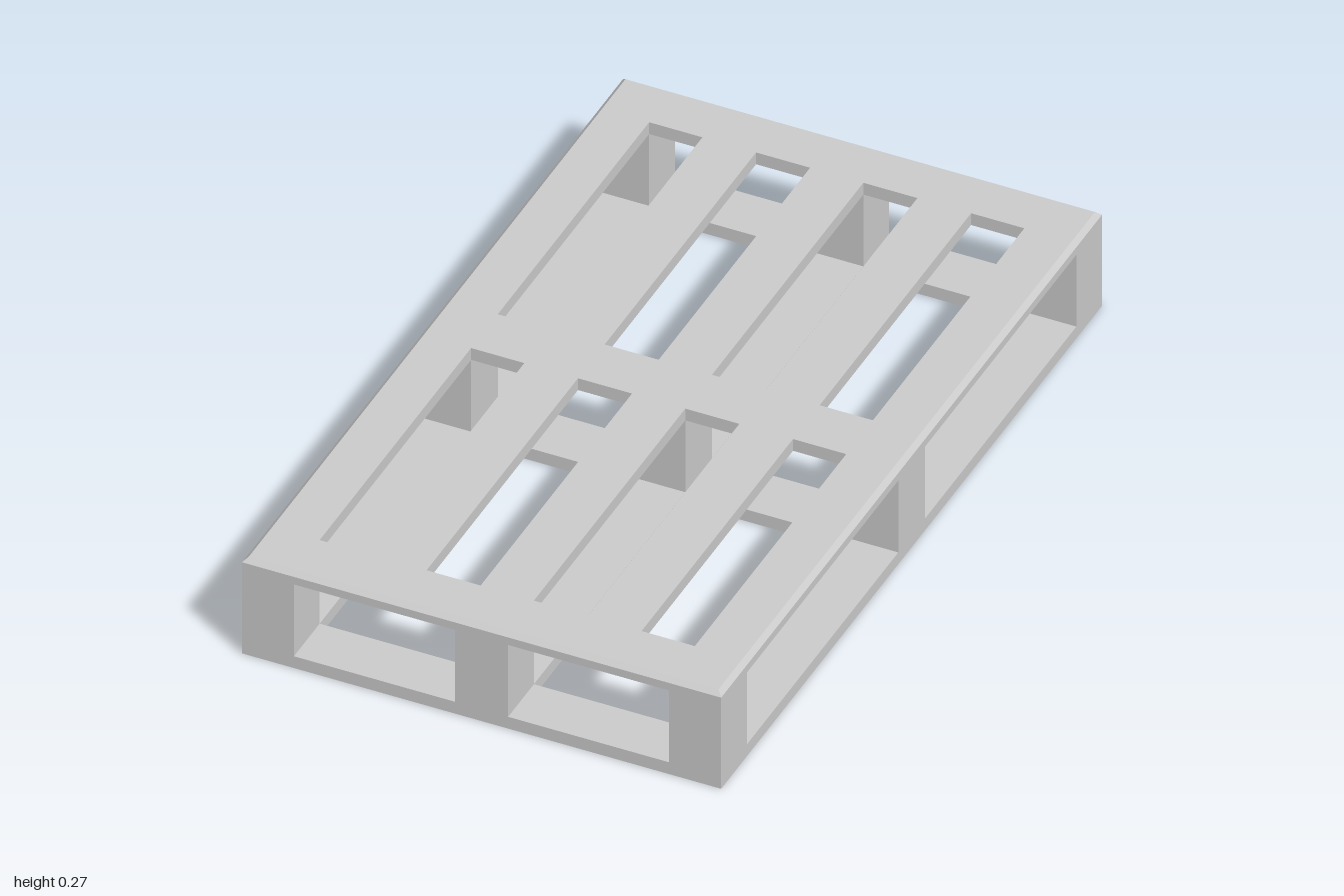
import * as THREE from 'three';

const W = 0.594, L = 1;                 // half width, half length
const SLAB = 0.033, TOP = 0.267;        // board thickness, total height
const BEVEL = 0.012;
const XIN = 0.465, XMID = 0.066;        // block limits across
const ZIN = 0.865, ZMID = 0.07;         // block limits along

const material = new THREE.MeshStandardMaterial({ color: 0xcccccc, flatShading: true });

function rect(path, x0, x1, z0, z1) {
  path.moveTo(x0, z0);
  path.lineTo(x1, z0);
  path.lineTo(x1, z1);
  path.lineTo(x0, z1);
  path.closePath();
  return path;
}

// Flat slab pierced by openings over the given x ranges, in two mirrored rows
function slab(xRanges, steps) {
  const shape = rect(new THREE.Shape(), -W, W, -L, L);
  for (const [x0, x1] of xRanges) {
    for (const [z0, z1] of [[-ZIN, -ZMID], [ZMID, ZIN]]) {
      shape.holes.push(rect(new THREE.Path(), x0, x1, z0, z1));
    }
  }
  const geometry = new THREE.ExtrudeGeometry(shape, { depth: SLAB, steps, bevelEnabled: false });
  return geometry.rotateX(-Math.PI / 2);
}

function add(group, name, geometry, x = 0, y = 0, z = 0) {
  const mesh = new THREE.Mesh(geometry, material);
  mesh.name = name;
  mesh.position.set(x, y, z);
  group.add(mesh);
}

export function createModel() {
  const pallet = new THREE.Group();
  pallet.name = 'pallet';

  // Bottom frame with four large openings
  add(pallet, 'bottomFrame', slab([[-XIN, -XMID], [XMID, XIN]], 1));

  // Top deck with eight slots; its outer upper edge is chamfered
  const deck = slab([[-XIN, -0.333], [-0.2, -XMID], [XMID, 0.2], [0.333, XIN]], 2);
  const p = deck.attributes.position;
  for (let i = 0; i < p.count; i++) {
    const x = p.getX(i), y = p.getY(i), z = p.getZ(i);
    if (y > SLAB * 0.9) {
      if (Math.abs(x) > W - 0.001) p.setX(i, x - Math.sign(x) * BEVEL);
      if (Math.abs(z) > L - 0.001) p.setZ(i, z - Math.sign(z) * BEVEL);
    } else if (y > SLAB * 0.1) {
      p.setY(i, SLAB - BEVEL);
    }
  }
  deck.computeVertexNormals();
  add(pallet, 'topDeck', deck, 0, TOP - SLAB, 0);

  // Nine spacer blocks between the frame and the deck
  const height = TOP - 2 * SLAB;
  for (const i of [-1, 0, 1]) {
    for (const k of [-1, 0, 1]) {
      const w = i ? W - XIN : 2 * XMID;
      const d = k ? L - ZIN : 2 * ZMID;
      add(pallet, 'spacerBlock', new THREE.BoxGeometry(w, height, d),
        i * (W + XIN) / 2, TOP / 2, k * (L + ZIN) / 2);
    }
  }
  return pallet;
}
